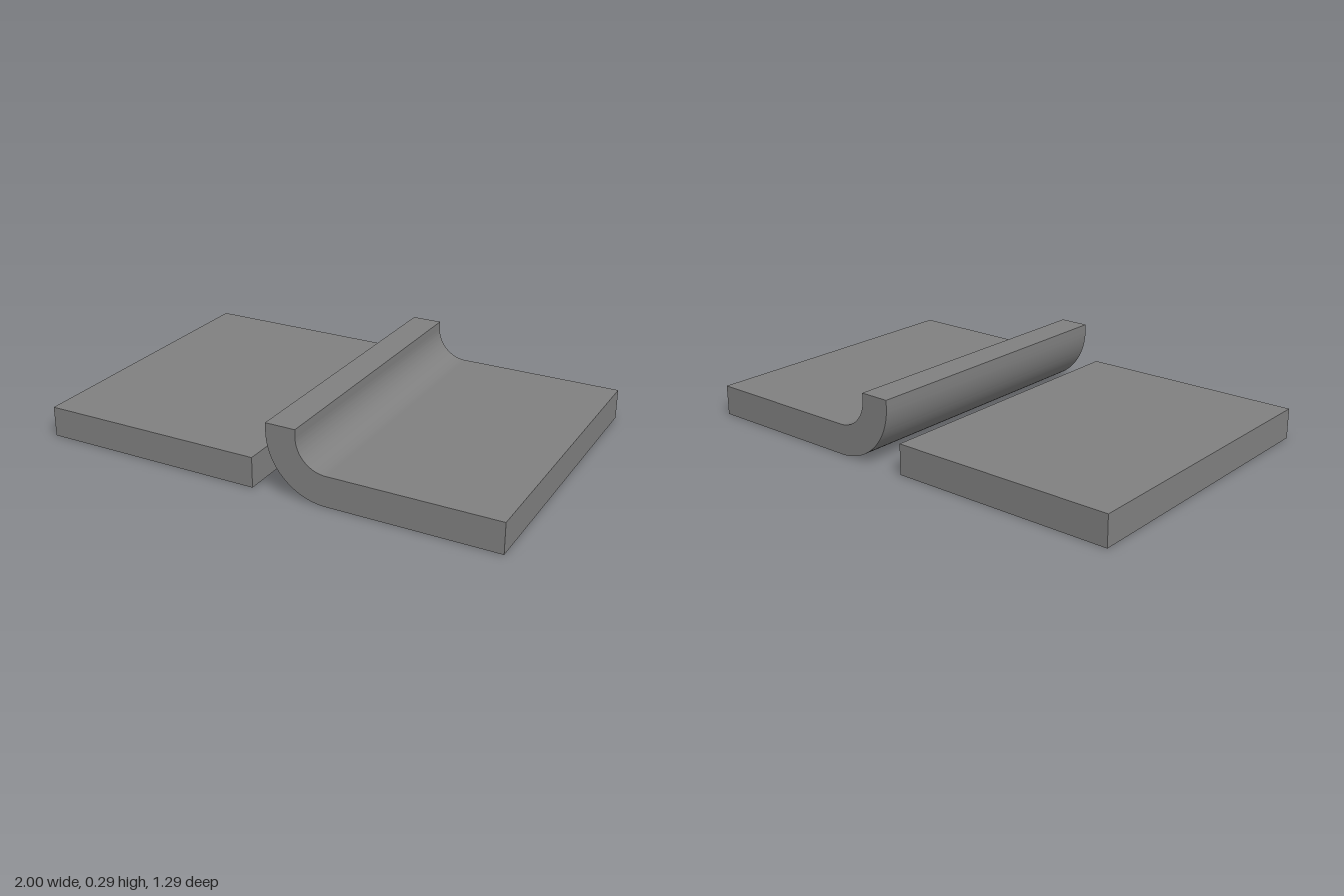
import * as THREE from 'three';
import { toCreasedNormals } from 'three/addons/utils/BufferGeometryUtils.js';

const T = 4 / 31;          // plate thickness, the base unit of the model
const DEPTH = 10 * T;      // size along z
const GAP = T / 4;         // distance of each plate from the centre line

export function createModel() {
  const group = new THREE.Group();
  const grey = new THREE.MeshStandardMaterial({ color: 0x808080 });
  grey.name = 'grey';

  // Flat plate on the right
  const width = 1 - GAP;
  const flat = new THREE.Mesh(new THREE.BoxGeometry(width, T, DEPTH), grey);
  flat.name = 'flatPlate';
  flat.position.set(-GAP - width / 2, T / 2, 0);
  group.add(flat);

  // Plate on the left whose inner edge bends upward by a quarter turn
  const cx = GAP + 2 * T, cy = 2 * T, top = 2.25 * T;
  const profile = new THREE.Shape();
  profile.moveTo(cx, 0);
  profile.lineTo(1, 0);
  profile.lineTo(1, T);
  profile.lineTo(cx, T);
  profile.absarc(cx, cy, T, -Math.PI / 2, -Math.PI, true);
  profile.lineTo(GAP + T, top);
  profile.lineTo(GAP, top);
  profile.lineTo(GAP, cy);
  profile.absarc(cx, cy, 2 * T, Math.PI, Math.PI * 1.5, false);
  const bentGeometry = new THREE.ExtrudeGeometry(profile, {
    depth: DEPTH, bevelEnabled: false, curveSegments: 24,
  });
  bentGeometry.translate(0, 0, -DEPTH / 2);
  const bent = new THREE.Mesh(toCreasedNormals(bentGeometry, 0.5), grey);
  bent.name = 'bentPlate';
  group.add(bent);

  return group;
}
